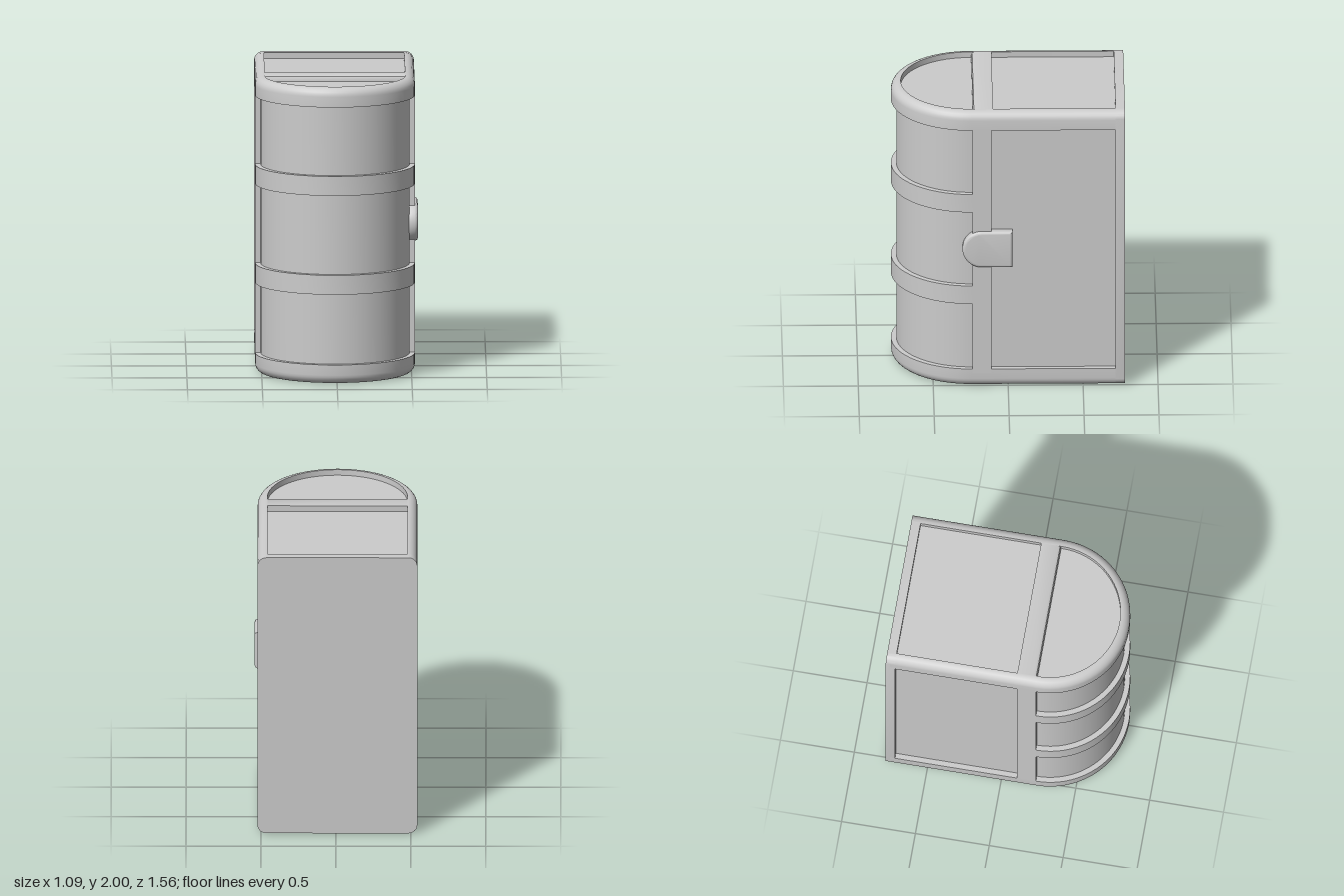
import * as THREE from 'three';
import { toCreasedNormals } from 'three/addons/utils/BufferGeometryUtils.js';

const R = 0.533;        // half width and radius of the rounded lid
const ZC = 0.243;       // centre of the lid arc
const BACK = -0.78;
const INSET = 0.036;    // depth of the recessed panels
const RIM = 0.065;      // width of the raised rim
const H = 2;

const material = new THREE.MeshStandardMaterial({ color: 0xcccccc });

function add(group, name, geometry) {
  const mesh = new THREE.Mesh(toCreasedNormals(geometry, 0.6), material);
  mesh.name = name;
  group.add(mesh);
  return mesh;
}

// Box given by its lower and upper limits
function box(x0, x1, y0, y1, z0, z1) {
  return new THREE.BoxGeometry(x1 - x0, y1 - y0, z1 - z0)
    .translate((x0 + x1) / 2, (y0 + y1) / 2, (z0 + z1) / 2);
}

// Sweeps a closed profile [outward offset, y] along the side, round the lid and back
function sweep(profile, zStart) {
  const path = [[R, zStart, 1, 0]];
  const steps = 36;
  for (let i = 0; i <= steps; i++) {
    const a = (i / steps) * Math.PI;
    path.push([R * Math.cos(a), ZC + R * Math.sin(a), Math.cos(a), Math.sin(a)]);
  }
  path.push([-R, zStart, -1, 0]);
  const positions = [], index = [], n = profile.length;
  for (const [x, z, nx, nz] of path)
    for (const [o, y] of profile) positions.push(x + nx * o, y, z + nz * o);
  for (let i = 0; i < path.length - 1; i++)
    for (let j = 0; j < n; j++) {
      const a = i * n + j, b = i * n + (j + 1) % n;
      index.push(a, b, b + n, a, b + n, a + n);
    }
  const g = new THREE.BufferGeometry();
  g.setAttribute('position', new THREE.Float32BufferAttribute(positions, 3));
  g.setIndex(index);
  g.computeVertexNormals();
  return g;
}

// Rim profile with a rounded outer edge, for the top end
function rimProfile() {
  const r = 0.06, p = [[-RIM, 1.87], [0, 1.87]];
  for (let i = 0; i <= 6; i++) {
    const a = (i / 6) * Math.PI / 2;
    p.push([-r + r * Math.cos(a), H - r + r * Math.sin(a)]);
  }
  p.push([-RIM, H]);
  return p;
}

export function createModel() {
  const model = new THREE.Group();
  model.name = 'chest';
  const body = new THREE.Group();
  body.name = 'body';
  body.position.x = -0.01;
  model.add(body);

  // Recessed core: box with a half-round lid
  const rc = R - INSET;
  const d = new THREE.Shape();
  d.moveTo(-rc, BACK + 0.03);
  d.lineTo(rc, BACK + 0.03);
  d.lineTo(rc, ZC);
  d.absarc(0, ZC, rc, 0, Math.PI, false);
  d.closePath();
  const core = new THREE.ExtrudeGeometry(d, { depth: H - 0.08, bevelEnabled: false, curveSegments: 36 });
  add(body, 'core', core.rotateX(Math.PI / 2).translate(0, H - 0.04, 0));

  // Rounded rims at both ends
  const top = rimProfile();
  const bottom = top.map(([o, y]) => [o, H - y]).reverse();
  add(body, 'topRim', sweep(top, BACK + 0.03));
  add(body, 'bottomRim', sweep(bottom, BACK + 0.03));

  // Bands round the lid
  for (const y of [0.605, 1.273]) {
    const band = [[-0.06, y], [0, y], [0, y + 0.131], [-0.06, y + 0.131]];
    add(body, 'lidBand', sweep(band, 0.15));
  }

  // Posts where lid and box meet
  for (const s of [-1, 1]) {
    const x0 = s > 0 ? R - RIM : -R, x1 = s > 0 ? R : RIM - R;
    add(body, 'seamPost', box(x0, x1, 0.1, H - 0.1, 0.11, 0.237));
  }

  // Crossbars on both ends, with a sloped edge towards the lid
  for (const end of ['top', 'bottom']) {
    const s = end === 'top' ? 1 : -1;
    const y = end === 'top' ? H : 0;
    const bar = new THREE.Shape([
      [-0.10, y - s * 0.06], [-0.235, y - s * 0.06], [-0.235, y - s * 0.025],
      [-0.228, y - s * 0.008], [-0.213, y], [-0.10, y],
    ].map(([u, v]) => new THREE.Vector2(u, v)));
    const g = new THREE.ExtrudeGeometry(bar, { depth: 2 * (R - 0.06), bevelEnabled: false });
    add(body, end + 'Crossbar', g.rotateY(Math.PI / 2).translate(-(R - 0.06), 0, 0));
  }

  // Flat back with rounded corners
  const r = 0.06, plate = new THREE.Shape();
  plate.absarc(R - r, r, r, -Math.PI / 2, 0, false);
  plate.absarc(R - r, H - r, r, 0, Math.PI / 2, false);
  plate.absarc(r - R, H - r, r, Math.PI / 2, Math.PI, false);
  plate.absarc(r - R, r, r, Math.PI, Math.PI * 1.5, false);
  plate.closePath();
  const back = new THREE.ExtrudeGeometry(plate, { depth: 0.063, bevelEnabled: false, curveSegments: 6 });
  add(body, 'backPlate', back.translate(0, 0, BACK));

  // Clasp over the right-hand seam
  const bevel = 0.02, cr = 0.13 - bevel;
  const c = new THREE.Shape();
  c.moveTo(0.03 - bevel, 1.005 - cr);
  c.lineTo(0.03 - bevel, 1.005 + cr);
  c.lineTo(-0.175, 1.005 + cr);
  c.absarc(-0.175, 1.005, cr, Math.PI / 2, Math.PI * 1.5, false);
  c.closePath();
  const clasp = new THREE.ExtrudeGeometry(c, {
    depth: 0.035, bevelThickness: bevel, bevelSize: bevel, bevelSegments: 4, curveSegments: 16,
  });
  add(model, 'clasp', clasp.rotateY(Math.PI / 2).translate(0.488, 0, 0));

  return model;
}
